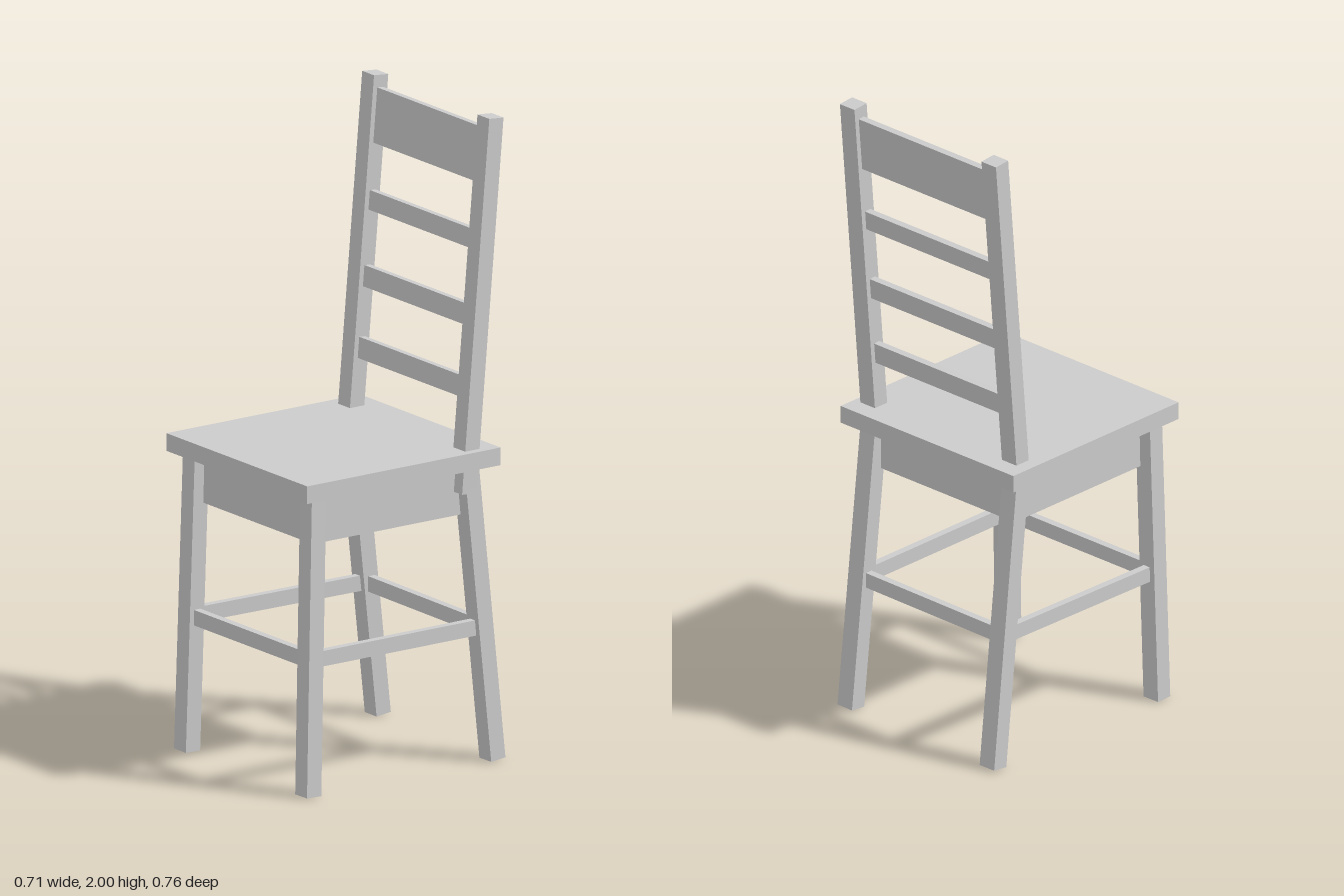
import * as THREE from 'three';

export function createModel() {
  const group = new THREE.Group();
  const material = new THREE.MeshStandardMaterial({ color: 0xcccccc, flatShading: true });

  const addBox = (name, size, center) => {
    const mesh = new THREE.Mesh(new THREE.BoxGeometry(...size), material);
    mesh.name = name;
    mesh.position.set(...center);
    group.add(mesh);
    return mesh;
  };

  // Straight bar whose length runs from one point to another
  const up = new THREE.Vector3(0, 1, 0);
  const addBar = (name, from, to, width, depth) => {
    const a = new THREE.Vector3(...from);
    const b = new THREE.Vector3(...to);
    const axis = b.clone().sub(a);
    const center = a.clone().add(b).multiplyScalar(0.5);
    const mesh = addBox(name, [width, axis.length(), depth], center.toArray());
    mesh.quaternion.setFromUnitVectors(up, axis.normalize());
  };

  // Seat and the solid apron below it
  addBox('seat', [0.714, 0.055, 0.716], [0, 0.952, 0.022]);
  addBox('apron', [0.57, 0.155, 0.56], [0.005, 0.85, 0.03]);

  // Splayed legs: foot and top centre of each
  const legs = {
    rightFrontLeg: [[-0.302, 0.002, 0.344], [-0.293, 0.94, 0.317]],
    leftFrontLeg: [[0.313, 0.002, 0.344], [0.301, 0.94, 0.317]],
    rightBackLeg: [[-0.288, 0.004, -0.352], [-0.283, 0.94, -0.247]],
    leftBackLeg: [[0.313, 0.004, -0.338], [0.301, 0.94, -0.247]],
  };
  for (const [name, [foot, top]] of Object.entries(legs)) addBar(name, foot, top, 0.06, 0.053);

  // Leaning back posts, joined to the back legs under the seat
  const lean = 0.0873;
  const postZ = (y) => -0.25 - (y - 0.98) * lean;
  for (const [name, x] of [['rightBackPost', -0.283], ['leftBackPost', 0.302]]) {
    addBar(name, [x, 0.845, postZ(0.845)], [x, 1.998, postZ(1.998)], 0.06, 0.053);
  }

  // Ladder slats, tilted with the posts
  for (const [name, low, high] of [
    ['topSlat', 1.79, 1.96],
    ['upperSlat', 1.585, 1.645],
    ['middleSlat', 1.35, 1.415],
    ['lowerSlat', 1.13, 1.195],
  ]) {
    const y = (low + high) / 2;
    const slat = addBox(name, [0.56, high - low, 0.022], [0.01, y, postZ(y)]);
    slat.rotation.x = -Math.atan(lean);
  }

  // Stretchers joining neighbouring legs at one height
  const at = (name, y) => {
    const [foot, top] = legs[name];
    const t = (y - foot[1]) / (top[1] - foot[1]);
    return foot.map((v, i) => v + (top[i] - v) * t);
  };
  for (const [name, from, to] of [
    ['frontStretcher', 'rightFrontLeg', 'leftFrontLeg'],
    ['backStretcher', 'rightBackLeg', 'leftBackLeg'],
    ['rightStretcher', 'rightFrontLeg', 'rightBackLeg'],
    ['leftStretcher', 'leftFrontLeg', 'leftBackLeg'],
  ]) {
    const a = new THREE.Vector3(...at(from, 0.42));
    const b = new THREE.Vector3(...at(to, 0.42));
    const center = a.clone().add(b).multiplyScalar(0.5);
    const bar = addBox(name, [a.distanceTo(b), 0.048, 0.024], center.toArray());
    bar.rotation.y = Math.atan2(a.z - b.z, b.x - a.x);
  }

  return group;
}
